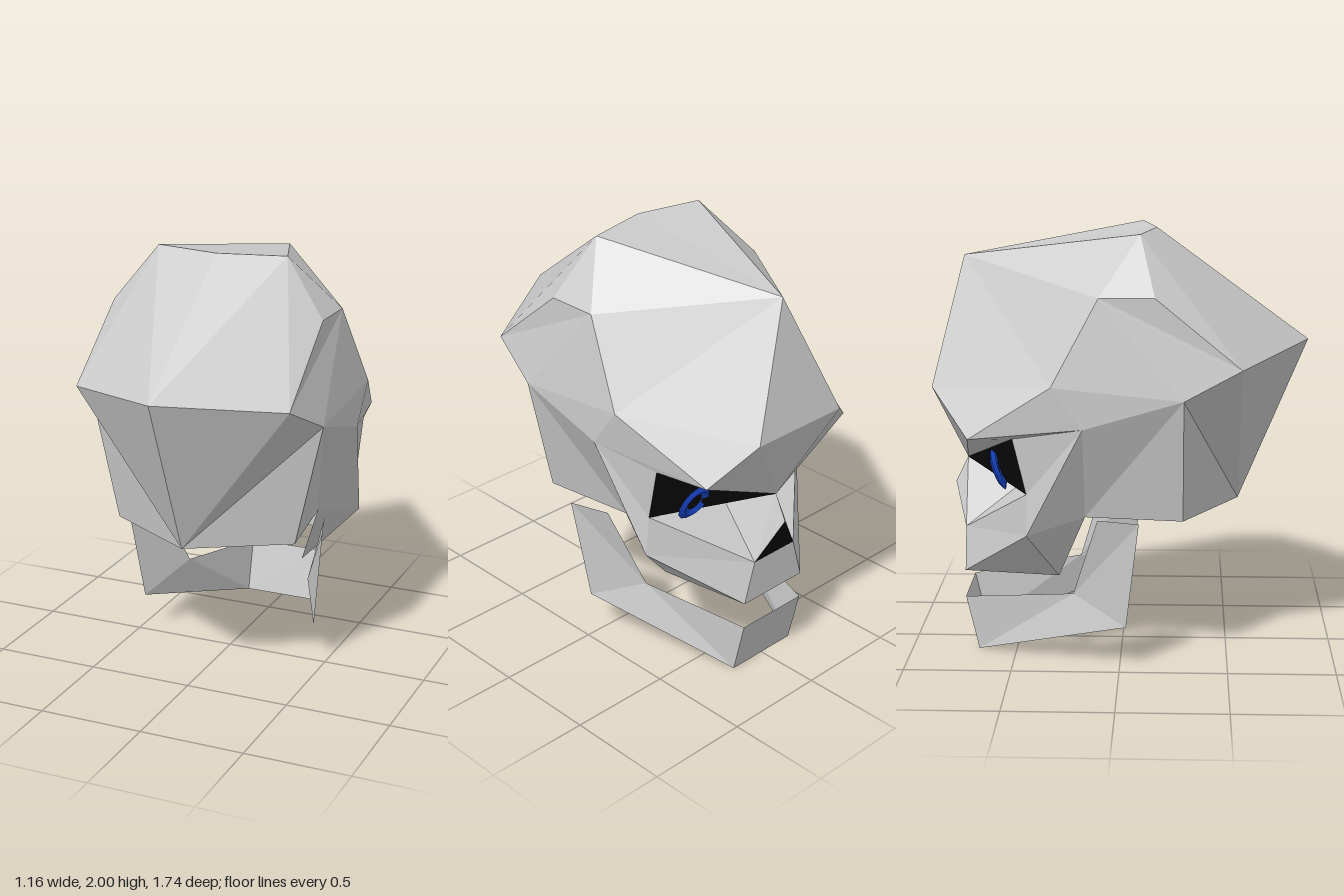
import * as THREE from 'three';

// Landmarks of the skull on the +x side; those with x = 0 lie on the centre line.
const P = {
  rear: [0, 1.48, 0.87], rearSide: [0.52, 1.42, 0.55], nape: [0, 0.71, 0.55],
  ear: [0.58, 1.29, 0.29], baseBack: [0.45, 0.71, 0.29], baseFront: [0.39, 0.71, -0.16],
  crown: [0, 2, 0.16], crownSide: [0.32, 2, 0.09], forehead: [0, 1.87, -0.74],
  sideBack: [0.52, 1.74, 0.16], sideFront: [0.52, 1.74, -0.09], temple: [0.58, 1.35, -0.3],
  brow: [0.26, 1.29, -0.87], browEnd: [0.45, 1.1, -0.74], cheek: [0.58, 1.16, -0.16],
  bridge: [0, 0.9, -0.74], noseTip: [0, 0.78, -0.8], nostril: [0.13, 0.59, -0.74],
  eyeTop: [0.5, 1.1, -0.48], eyeOut: [0.49, 0.84, -0.42], eyeIn: [0.07, 0.78, -0.49],
  cheekLow: [0.51, 0.65, -0.42], jawBack: [0.26, 0.39, -0.29], jawFront: [0.19, 0.39, -0.74],
  hingeBack: [0.51, 0.71, 0.09], hingeFront: [0.45, 0.71, -0.1], angle: [0.45, 0.2, 0.03],
  bend: [0.32, 0.32, -0.22], chinTop: [0.19, 0.26, -0.74], chinLow: [0.19, 0, -0.68],
};
// The brow end on the -x side sits a little further out.
const OTHER = { browEnd: [-0.52, 1.1, -0.68] };

const material = (color) =>
  new THREE.MeshStandardMaterial({ color, flatShading: true, side: THREE.DoubleSide });
const bone = material(0xcccccc);
const black = material(0x080808);
const blue = material(0x1a48d0);

// A leading minus on a name means the mirrored landmark.
function point(name, side) {
  const minus = name[0] === '-';
  const key = minus ? name.slice(1) : name;
  const s = minus ? -side : side;
  if (s < 0 && OTHER[key]) return new THREE.Vector3(...OTHER[key]);
  const [x, y, z] = P[key];
  return new THREE.Vector3(x * s, y, z);
}

// Fans each named polygon into triangles on the given sides, turned away from the centre.
function sheet(name, mat, centre, faces, sides = [1, -1]) {
  const pts = [];
  for (const side of sides) {
    for (const face of faces) {
      const v = face.split(' ').map((n) => point(n, side));
      for (let i = 1; i < v.length - 1; i++) {
        const t = new THREE.Triangle(v[0], v[i], v[i + 1]);
        const out = t.getMidpoint(new THREE.Vector3()).sub(centre);
        const flip = t.getNormal(new THREE.Vector3()).dot(out) < 0;
        pts.push(t.a, ...(flip ? [t.c, t.b] : [t.b, t.c]));
      }
    }
  }
  const geometry = new THREE.BufferGeometry().setFromPoints(pts);
  geometry.computeVertexNormals();
  const mesh = new THREE.Mesh(geometry, mat);
  mesh.name = name;
  return mesh;
}

export function createModel() {
  const group = new THREE.Group();
  group.name = 'skull';
  const middle = new THREE.Vector3(0, 1.1, 0);

  // Braincase: crown, back, sides and base
  group.add(sheet('cranium', bone, middle, [
    'rear crown crownSide', 'rear crownSide rearSide', 'crownSide sideBack rearSide',
    'crownSide sideFront sideBack', 'crown crownSide forehead',
    'forehead crownSide sideFront', 'forehead sideFront temple',
    'forehead temple brow', 'brow temple browEnd',
    'rearSide sideBack sideFront', 'rearSide sideFront ear', 'ear sideFront temple',
    'ear temple cheek', 'temple cheek browEnd',
    'rear rearSide nape', 'rearSide ear nape', 'ear baseBack nape',
    'ear baseBack baseFront', 'ear baseFront cheek',
  ]));
  group.add(sheet('skullBase', bone, middle,
    ['nape baseBack baseFront -baseFront -baseBack'], [1]));
  group.add(sheet('forehead', bone, middle,
    ['forehead brow -brow', 'bridge brow -brow'], [1]));

  // Brow underside, cheeks, nose sides and upper jaw
  group.add(sheet('face', bone, middle, [
    'brow browEnd bridge', 'browEnd cheek eyeTop', 'browEnd eyeTop bridge',
    'cheek eyeTop eyeOut', 'cheek eyeOut cheekLow',
    'bridge noseTip nostril', 'bridge nostril eyeIn',
    'eyeOut eyeIn nostril', 'eyeOut nostril cheekLow',
    'cheekLow nostril jawFront', 'cheekLow jawFront jawBack',
    'cheek cheekLow baseFront', 'cheekLow jawBack baseFront',
  ]));
  group.add(sheet('upperTeeth', bone, middle,
    ['nostril -nostril -jawFront jawFront'], [1]));

  // Dark openings
  group.add(sheet('eyeSockets', black, middle, ['bridge eyeTop eyeOut eyeIn']));
  group.add(sheet('noseHole', black, middle, ['noseTip nostril -nostril'], [1]));

  // Iris rings, half sunk into the sockets
  for (const side of [1, -1]) {
    const iris = new THREE.Mesh(new THREE.TorusGeometry(0.07, 0.028, 4, 14), blue);
    iris.name = side > 0 ? 'leftIris' : 'rightIris';
    iris.position.set(0.34 * side, 0.92, -0.56);
    iris.scale.z = 0.5;
    iris.lookAt(0.34 * side, 0.92 - 0.35, -0.56 - 0.94);
    group.add(iris);
  }

  // Lower jaw: a thin open band
  const jawMiddle = new THREE.Vector3(0, 0.3, -0.3);
  const jaw = new THREE.Group();
  jaw.name = 'lowerJaw';
  jaw.add(sheet('jawSides', bone, jawMiddle, [
    'hingeBack hingeFront bend', 'hingeBack bend angle',
    'angle bend chinLow', 'bend chinTop chinLow',
  ]));
  jaw.add(sheet('chin', bone, jawMiddle, ['chinTop -chinTop -chinLow chinLow'], [1]));
  group.add(jaw);
  return group;
}
